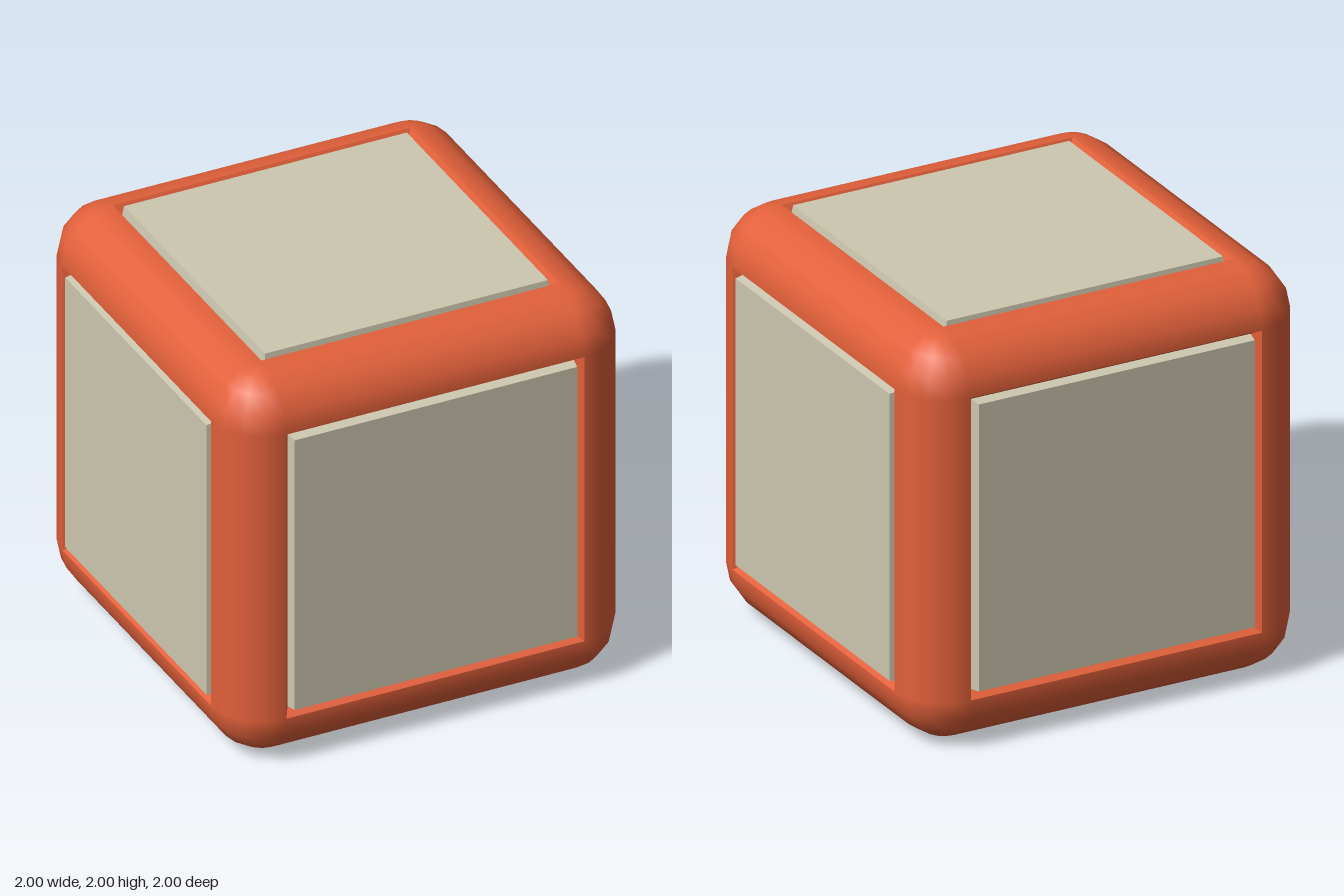
import * as THREE from 'three';
import { mergeGeometries } from 'three/addons/utils/BufferGeometryUtils.js';

const BODY = 0.995;          // half size of the frame
const OPENING = 0.744;       // half width of each recess opening, where the rounding starts
const RADIUS = BODY - OPENING;
const PANEL_BASE = 0.714;    // half width at the foot of a panel
const PANEL_FACE = 0.706;    // half width at the face of a panel
const FLOOR = 0.945;         // distance of the recess floor from the centre
const QUARTER = Math.PI / 2;

// Four-sided open or closed frustum around the y axis, with flat faces
function squareFrustum(top, bottom, y0, y1, open, inward = false) {
  const g = new THREE.CylinderGeometry(top * Math.SQRT2, bottom * Math.SQRT2, y1 - y0, 4, 1, open);
  g.rotateY(Math.PI / 4).translate(0, (y0 + y1) / 2, 0);
  if (inward) g.scale(-1, 1, 1); // mirrored winding shows the inner walls
  const flat = g.toNonIndexed();
  flat.computeVertexNormals();
  return flat;
}

// Twelve rounded edges and eight rounded corners
function roundedFrame() {
  const parts = [];
  const edge = new THREE.CylinderGeometry(RADIUS, RADIUS, 2 * OPENING, 4, 1, true, 0, QUARTER);
  edge.translate(OPENING, 0, OPENING);
  const corner = new THREE.SphereGeometry(RADIUS, 4, 4, QUARTER, QUARTER, 0, QUARTER);
  corner.translate(OPENING, OPENING, OPENING);
  for (let k = 0; k < 4; k++) {
    const upright = edge.clone().rotateY(k * QUARTER);
    parts.push(upright, upright.clone().rotateX(QUARTER), upright.clone().rotateZ(QUARTER));
    const upper = corner.clone().rotateY(k * QUARTER);
    parts.push(upper, upper.clone().rotateX(Math.PI));
  }
  return mergeGeometries(parts);
}

export function createModel() {
  const orange = new THREE.MeshStandardMaterial({ color: 0xe2603a });
  orange.name = 'orange';
  const cream = new THREE.MeshStandardMaterial({ color: 0xcdc8b0 });
  cream.name = 'cream';

  const model = new THREE.Group();
  model.name = 'panelledCube';
  const add = (parent, name, geometry, material) => {
    const mesh = new THREE.Mesh(geometry, material);
    mesh.name = name;
    parent.add(mesh);
  };

  const cube = new THREE.Group();
  cube.name = 'cube';
  cube.position.y = 1;
  model.add(cube);
  add(cube, 'roundedFrame', roundedFrame(), orange);

  // Sloped recess and inset panel on every side
  const recess = squareFrustum(OPENING, PANEL_BASE, FLOOR, BODY, true, true);
  const panel = squareFrustum(PANEL_FACE, PANEL_BASE, FLOOR, 1, false);
  const sides = {
    top: [0, 0], bottom: [Math.PI, 0], front: [QUARTER, 0],
    back: [-QUARTER, 0], left: [0, -QUARTER], right: [0, QUARTER],
  };
  for (const [side, [rx, rz]] of Object.entries(sides)) {
    const group = new THREE.Group();
    group.name = side + 'Side';
    group.rotation.set(rx, 0, rz);
    add(group, side + 'Recess', recess, orange);
    add(group, side + 'Panel', panel, cream);
    cube.add(group);
  }
  return model;
}
